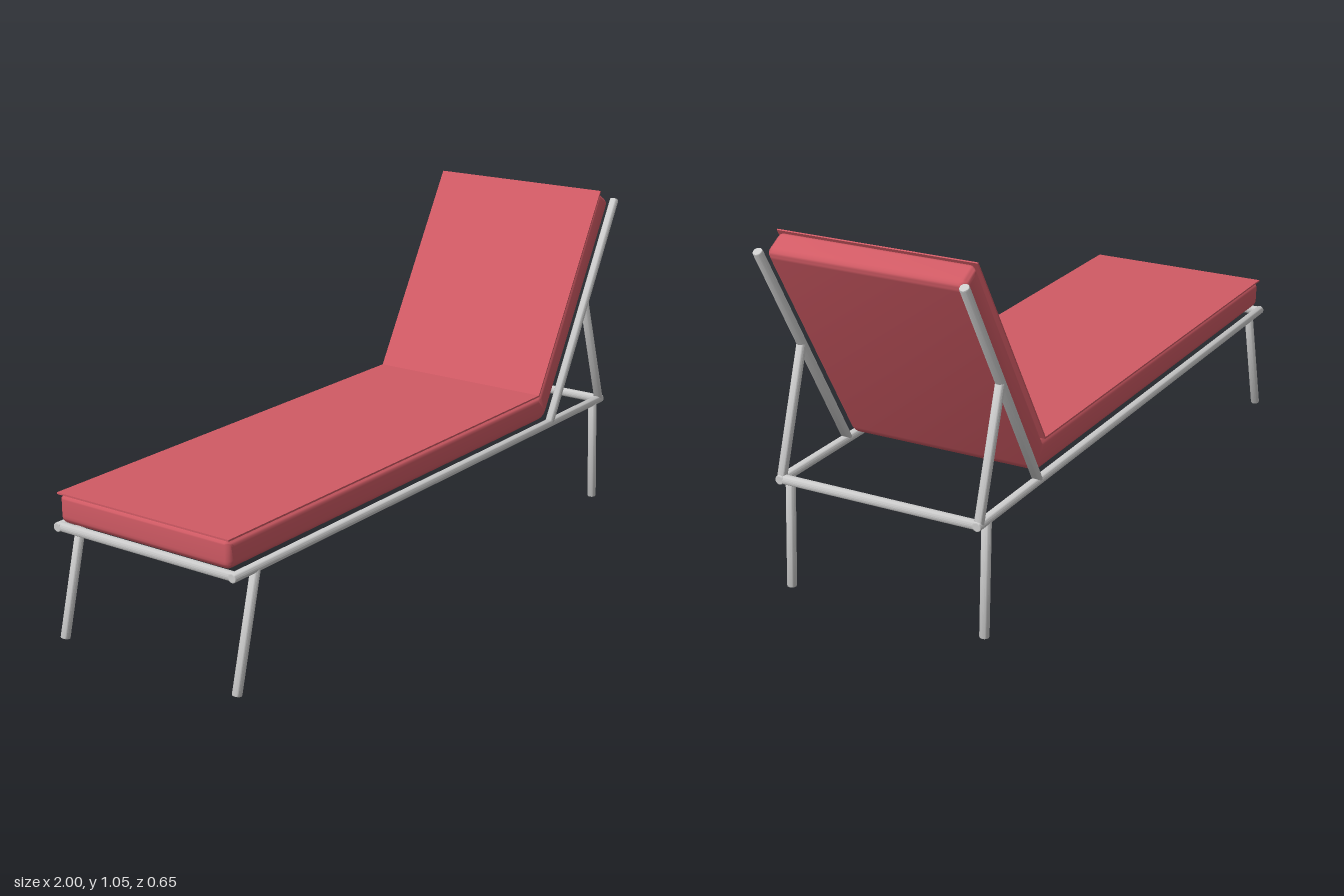
import * as THREE from 'three';
import { toCreasedNormals } from 'three/addons/utils/BufferGeometryUtils.js';

const R = 0.014; // tube radius
const RAIL_Z = 0.312;
const RAIL_Y = 0.341;

const metal = new THREE.MeshStandardMaterial({ color: 0xcccccc });
const fabric = new THREE.MeshStandardMaterial({ color: 0xd05a64 });

// Straight tube with softened ends, running from a to b
function tube(name, a, b) {
  const from = new THREE.Vector3(...a), to = new THREE.Vector3(...b);
  const dir = to.clone().sub(from);
  const len = dir.length(), e = 0.004;
  const profile = [[0, 0], [R - e, 0], [R - e * 0.3, e * 0.3], [R, e],
    [R, len - e], [R - e * 0.3, len - e * 0.3], [R - e, len], [0, len]]
    .map(([x, y]) => new THREE.Vector2(x, y));
  const mesh = new THREE.Mesh(toCreasedNormals(new THREE.LatheGeometry(profile, 20), 0.7), metal);
  mesh.name = name;
  mesh.position.copy(from);
  mesh.quaternion.setFromUnitVectors(new THREE.Vector3(0, 1, 0), dir.normalize());
  return mesh;
}

// Closed outline whose corners [x, y, radius] are rounded
function roundedOutline(corners) {
  const shape = new THREE.Shape();
  const n = corners.length;
  corners.forEach(([x, y, r], i) => {
    const p = new THREE.Vector2(x, y);
    const toward = (c) => new THREE.Vector2(c[0], c[1]).sub(p).setLength(r).add(p);
    const start = toward(corners[(i + n - 1) % n]);
    const end = toward(corners[(i + 1) % n]);
    if (i === 0) shape.moveTo(start.x, start.y);
    else shape.lineTo(start.x, start.y);
    shape.quadraticCurveTo(x, y, end.x, end.y);
  });
  shape.closePath();
  return shape;
}

// Padded seat and backrest in one bent piece
function cushion() {
  const bevel = 0.02, half = 0.302;
  const shape = roundedOutline([
    [-0.998, 0.356, 0.025], [0.596, 0.356, 0.03], [0.972, 1.007, 0.025],
    [0.905, 1.046, 0.012], [0.553, 0.439, 0.002], [-0.998, 0.439, 0.012],
  ]);
  const geo = new THREE.ExtrudeGeometry(shape, {
    depth: 2 * (half - bevel), bevelEnabled: true, bevelSize: bevel,
    bevelThickness: bevel, bevelOffset: -bevel, bevelSegments: 5, curveSegments: 6,
  });
  geo.translate(0, 0, -(half - bevel));
  const mesh = new THREE.Mesh(toCreasedNormals(geo, 0.7), fabric);
  mesh.name = 'cushion';
  return mesh;
}

// Thin flat cover lying on the padding
function cover() {
  const shape = new THREE.Shape([
    [-1, 0.441], [0.551, 0.441], [0.907, 1.049],
    [0.903, 1.051], [0.548, 0.446], [-1, 0.446],
  ].map(([x, y]) => new THREE.Vector2(x, y)));
  const geo = new THREE.ExtrudeGeometry(shape, { depth: 0.61, bevelEnabled: false });
  geo.translate(0, 0, -0.305);
  const mesh = new THREE.Mesh(geo, fabric);
  mesh.name = 'cushionCover';
  return mesh;
}

export function createModel() {
  const model = new THREE.Group();
  model.name = 'sunLounger';

  // Side frames, mirrored across z
  for (const side of [1, -1]) {
    const frame = new THREE.Group();
    frame.name = side > 0 ? 'frontSideFrame' : 'backSideFrame';
    const z = side * RAIL_Z;
    frame.add(
      tube('sideRail', [-1, RAIL_Y, z], [0.944, RAIL_Y, z]),
      tube('footLeg', [-0.988, 0.003, z], [-0.9, RAIL_Y, z]),
      tube('headLeg', [0.908, 0.001, z], [0.889, RAIL_Y, z]),
      tube('backrestPost', [0.606, RAIL_Y, z], [0.987, 1.012, z]),
      tube('backrestBrace', [0.93, RAIL_Y, z], [0.808, 0.705, z]),
    );
    model.add(frame);
  }

  // Bars joining the two sides
  for (const [name, x] of [['footCrossbar', -0.986], ['headCrossbar', 0.93]]) {
    model.add(tube(name, [x, RAIL_Y, -RAIL_Z], [x, RAIL_Y, RAIL_Z]));
  }

  model.add(cushion(), cover());
  return model;
}
